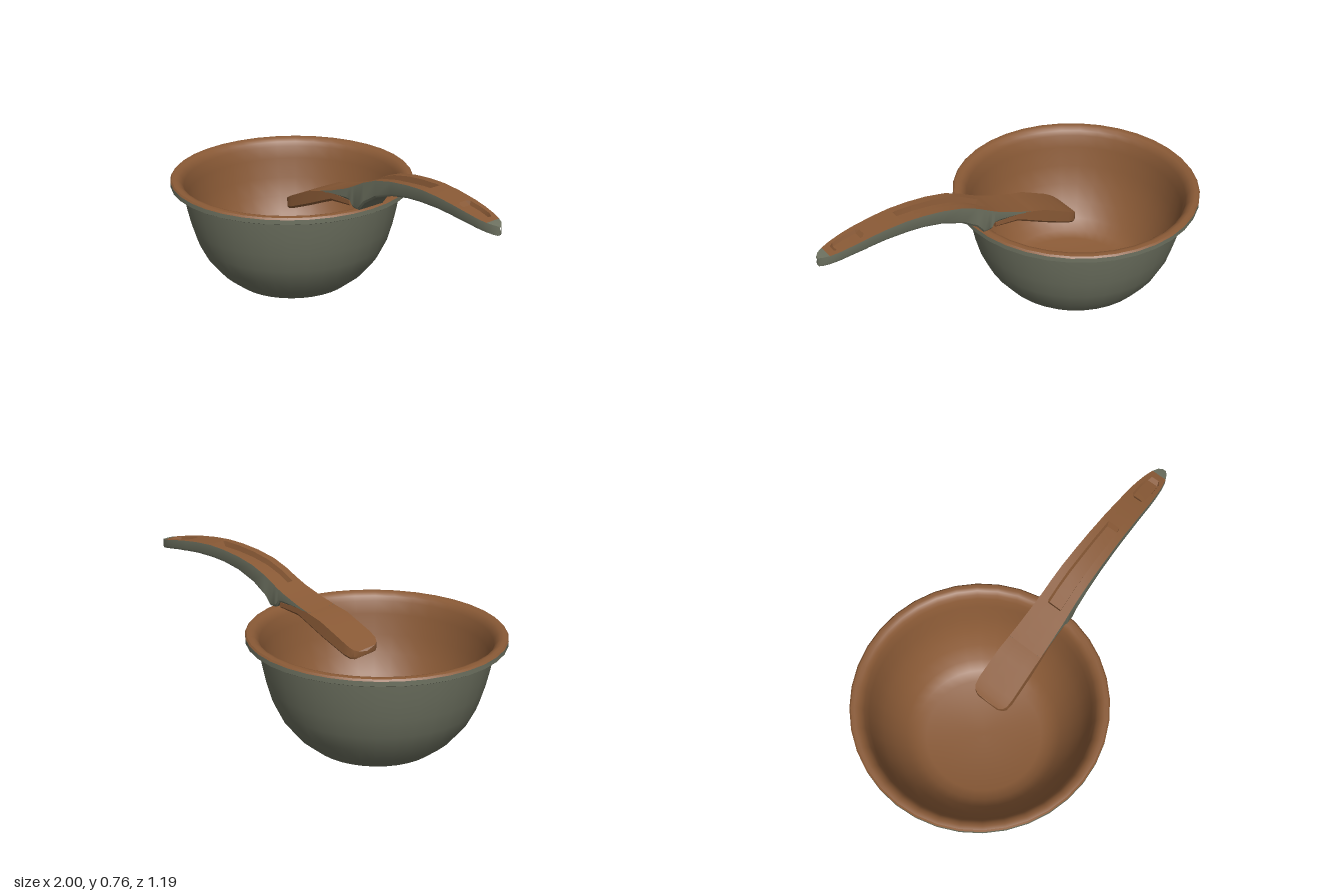
import * as THREE from 'three';
import { toCreasedNormals } from 'three/addons/utils/BufferGeometryUtils.js';

export function createModel() {
  const group = new THREE.Group();
  const brown = new THREE.MeshStandardMaterial({ color: 0x8a5a36 });
  brown.name = 'warm brown';
  const green = new THREE.MeshStandardMaterial({ color: 0x6d7160 });
  green.name = 'grey green';

  const add = (name, geometry, material, crease = 0.6) => {
    const mesh = new THREE.Mesh(toCreasedNormals(geometry, crease), material);
    mesh.name = name;
    group.add(mesh);
    return mesh;
  };

  // Bowl: consecutive lathe profiles, running from the foot up, over the rim and down inside
  const lathe = (name, profile, material) => {
    const points = profile.map(([r, y]) => new THREE.Vector2(r, y));
    add(name, new THREE.LatheGeometry(points, 36), material).position.x = -0.405;
  };
  lathe('bowlShell', [[0, 0], [0.295, 0], [0.37, 0.06], [0.435, 0.14], [0.475, 0.22],
    [0.502, 0.31], [0.52, 0.39], [0.533, 0.46], [0.54, 0.507]], green);
  lathe('rimUnderside', [[0.535, 0.505], [0.59, 0.505]], brown);
  lathe('rimEdge', [[0.59, 0.505], [0.595, 0.508], [0.595, 0.53]], green);
  lathe('bowlLining', [[0.595, 0.53], [0.588, 0.538], [0.572, 0.541], [0.556, 0.536], [0.541, 0.522],
    [0.53, 0.5], [0.515, 0.44], [0.498, 0.34], [0.468, 0.25], [0.425, 0.16],
    [0.375, 0.09], [0.33, 0.045], [0.28, 0.028], [0, 0.025]], brown);

  // Skin through rows of points
  const skin = (rows) => {
    const n = rows[0].length;
    const index = [];
    for (let i = 0; i < rows.length - 1; i++) {
      for (let j = 0; j < n - 1; j++) {
        const a = i * n + j, b = a + n;
        index.push(a, a + 1, b, b, a + 1, b + 1);
      }
    }
    const geometry = new THREE.BufferGeometry();
    geometry.setAttribute('position', new THREE.Float32BufferAttribute(rows.flat(2), 3));
    geometry.setIndex(index);
    return geometry;
  };

  // Station: x, top, bottom, half width, recess depth, recess half width
  const topRow = ([x, top, , w, depth = 0, r = w * 0.5]) => [
    [x, top, -w], [x, top, -r], [x, top - depth, -r * 0.85],
    [x, top - depth, r * 0.85], [x, top, r], [x, top, w]];
  const underRow = ([x, top, bottom, w]) => {
    const c = Math.min(0.012, (top - bottom) * 0.3), k = w * 0.9;
    return [[x, top, w], [x, bottom + c, w], [x, bottom, k],
      [x, bottom, -k], [x, bottom + c, -w], [x, top, -w]];
  };
  const capRow = ([x, top, bottom]) => Array(6).fill([x, (top + bottom) / 2, 0]);

  // Blade reaching down into the bowl
  const blade = [
    [-0.352, 0.44, 0.41, 0.06], [-0.342, 0.448, 0.403, 0.08], [-0.325, 0.46, 0.402, 0.092],
    [-0.29, 0.48, 0.412, 0.096], [-0.15, 0.545, 0.47, 0.094], [-0.06, 0.568, 0.51, 0.09],
    [0.0, 0.578, 0.535, 0.086], [0.12, 0.572, 0.545, 0.078]];
  add('bladeTop', skin(blade.map(topRow)), brown);
  add('bladeUnderside', skin([capRow(blade[0]), ...blade.map(underRow), capRow(blade[7])]), brown);

  // Arched handle with a long grip recess, a short end recess and a foot on the rim
  const handle = [
    [-0.07, 0.567, 0.56, 0.09], [0.0, 0.588, 0.57, 0.087], [0.1, 0.625, 0.572, 0.083],
    [0.125, 0.637, 0.572, 0.082], [0.143, 0.646, 0.545, 0.081, 0, 0.038],
    [0.155, 0.652, 0.542, 0.08, 0.026, 0.038], [0.185, 0.668, 0.542, 0.079, 0.026, 0.038],
    [0.22, 0.687, 0.584, 0.078, 0.026, 0.038], [0.3, 0.719, 0.635, 0.076, 0.026, 0.037],
    [0.4, 0.741, 0.672, 0.073, 0.026, 0.035], [0.5, 0.753, 0.691, 0.07, 0.026, 0.034],
    [0.585, 0.757, 0.697, 0.067, 0.026, 0.033], [0.6, 0.757, 0.697, 0.067, 0, 0.033],
    [0.69, 0.752, 0.697, 0.064], [0.775, 0.742, 0.69, 0.061, 0, 0.02],
    [0.79, 0.74, 0.688, 0.061, 0.018, 0.034], [0.85, 0.73, 0.682, 0.057, 0.018, 0.036],
    [0.905, 0.719, 0.673, 0.05, 0.018, 0.032], [0.925, 0.715, 0.67, 0.046, 0, 0.02],
    [0.955, 0.709, 0.665, 0.038], [0.982, 0.704, 0.66, 0.025], [0.997, 0.698, 0.656, 0.01],
    [1.0, 0.692, 0.66, 0.004]];
  const tip = handle.findIndex((s) => s[0] > 0.95);
  add('handleTop', skin(handle.slice(0, tip + 1).map(topRow)), brown, 0.5);
  add('handleTip', skin(handle.slice(tip).map(topRow)), green);
  add('handleBody', skin([capRow(handle[0]), ...handle.map(underRow), capRow(handle.at(-1))]), green);

  return group;
}
